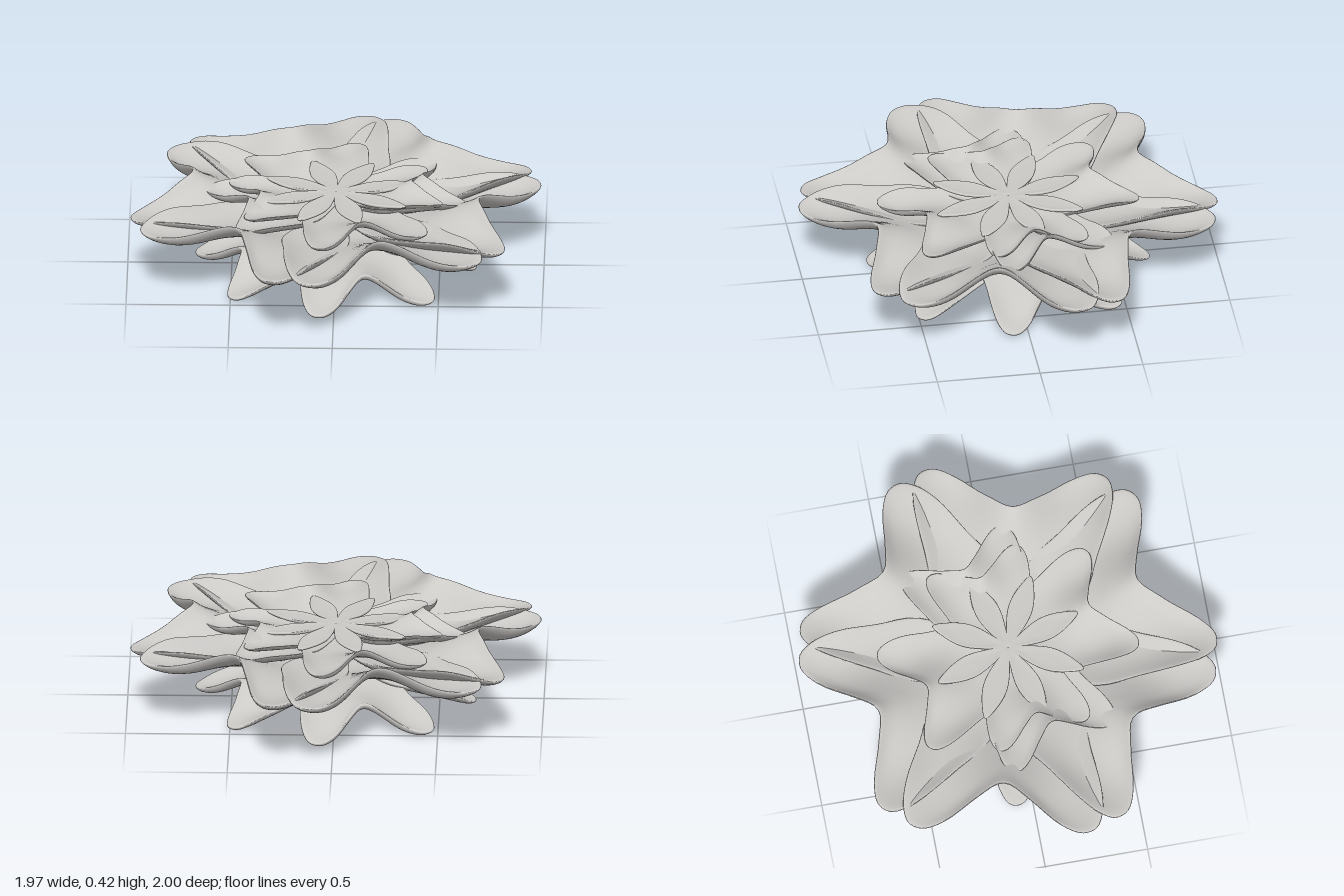
import * as THREE from 'three';
import { mergeVertices } from 'three/addons/utils/BufferGeometryUtils.js';

const smooth = THREE.MathUtils.smoothstep;

// Half outlines (u along the petal, v across), mirrored to close the loop
const HEART = [[0, 0], [0.1, 0.16], [0.3, 0.36], [0.5, 0.42], [0.7, 0.475], [0.82, 0.485],
  [0.9, 0.46], [0.93, 0.395], [0.895, 0.29], [0.78, 0.125], [0.715, 0]];
const LEAF = [[0, 0], [0.25, 0.1], [0.55, 0.155], [0.82, 0.1], [1, 0]];

function closedOutline(half, count) {
  const mirrored = half.slice(1, -1).reverse().map(([u, v]) => [u, -v]);
  const pts = [...half, ...mirrored].map(([u, v]) => new THREE.Vector3(u, v, 0));
  return new THREE.CatmullRomCurve3(pts, true, 'centripetal').getPoints(count).slice(0, count);
}

// Thick rounded petal: rings grow from the middle to the rim on top, then shrink back underneath
function petalGeometry(half, scale, thickness, height) {
  const N = 80, K = 15;
  const rim = closedOutline(half, N);
  const pos = [], index = [];
  for (let i = 0; i <= 2 * K; i++) {
    const rho = Math.sin(Math.PI * i / (2 * K));
    const side = i <= K ? 1 : -1;
    const lift = side * thickness / 2 * Math.sqrt(Math.max(0, 1 - rho ** 12));
    for (const p of rim) {
      const u = 0.5 + (p.x - 0.5) * rho, v = p.y * rho;
      pos.push(u * scale, height(u, v, rho) + lift, -v * scale);
    }
  }
  for (let i = 0; i < 2 * K; i++) {
    for (let j = 0; j < N; j++) {
      const a = i * N + j, d = i * N + (j + 1) % N, b = a + N, c = d + N;
      if (i < 2 * K - 1) index.push(a, c, b);
      if (i > 0) index.push(a, d, c);
    }
  }
  let geo = new THREE.BufferGeometry();
  geo.setAttribute('position', new THREE.Float32BufferAttribute(pos, 3));
  geo.setIndex(index);
  geo = mergeVertices(geo, 1e-5);
  geo.computeVertexNormals();
  return geo;
}

// Raised notch, curled rim and lifted sides shared by all heart petals
function relief(u, v, rho) {
  const sides = 1 - smooth(u, 0.6, 1);
  return 0.04 * rho ** 5
    + 0.12 * Math.exp(-((v / 0.2) ** 2)) * smooth(u, 0.3, 0.74)
    + 0.05 * (Math.abs(v) / 0.45) ** 4 * sides
    - 0.025 * v * sides;
}

// Upward cup for the upper rings
const cup = (u, v, rho) => 0.035 * Math.hypot(u, v) ** 4 + relief(u, v, rho);

// Downward sweep for the lowest ring
function droop(u, v, rho) {
  const r = Math.min(1, Math.hypot(u, v));
  return 0.01 + 0.23 * (1 - r) ** 1.3 + 0.62 * relief(u, v, rho);
}

export function createModel() {
  const model = new THREE.Group();
  model.name = 'layeredFlower';
  const stone = new THREE.MeshStandardMaterial({ color: 0xcccac7 });
  stone.name = 'pale stone';

  function ring(name, count, startDegrees, geometry) {
    const group = new THREE.Group();
    group.name = name;
    for (let k = 0; k < count; k++) {
      const petal = new THREE.Mesh(geometry, stone);
      petal.name = name + 'Petal';
      petal.rotation.y = THREE.MathUtils.degToRad(startDegrees + 360 / count * k);
      group.add(petal);
    }
    model.add(group);
  }

  // Drooping lower ring
  ring('lower', 4, 18, petalGeometry(HEART, 0.67, 0.034, droop));
  // Wide outer ring
  ring('outer', 6, 48, petalGeometry(HEART, 0.99, 0.04,
    (u, v, rho) => 0.262 + cup(u, v, rho)));
  // Middle ring
  ring('middle', 4, 18, petalGeometry(HEART, 0.62, 0.026,
    (u, v, rho) => 0.318 + 0.62 * cup(u, v, rho)));
  // Inner pair
  ring('inner', 2, 11, petalGeometry(HEART, 0.52, 0.02,
    (u, v, rho) => 0.348 + 0.45 * cup(u, v, rho)));
  // Slender centre leaves
  ring('centre', 8, 18, petalGeometry(LEAF, 0.38, 0.018,
    (u, v, rho) => 0.387 + 0.006 * rho ** 5));

  return model;
}
